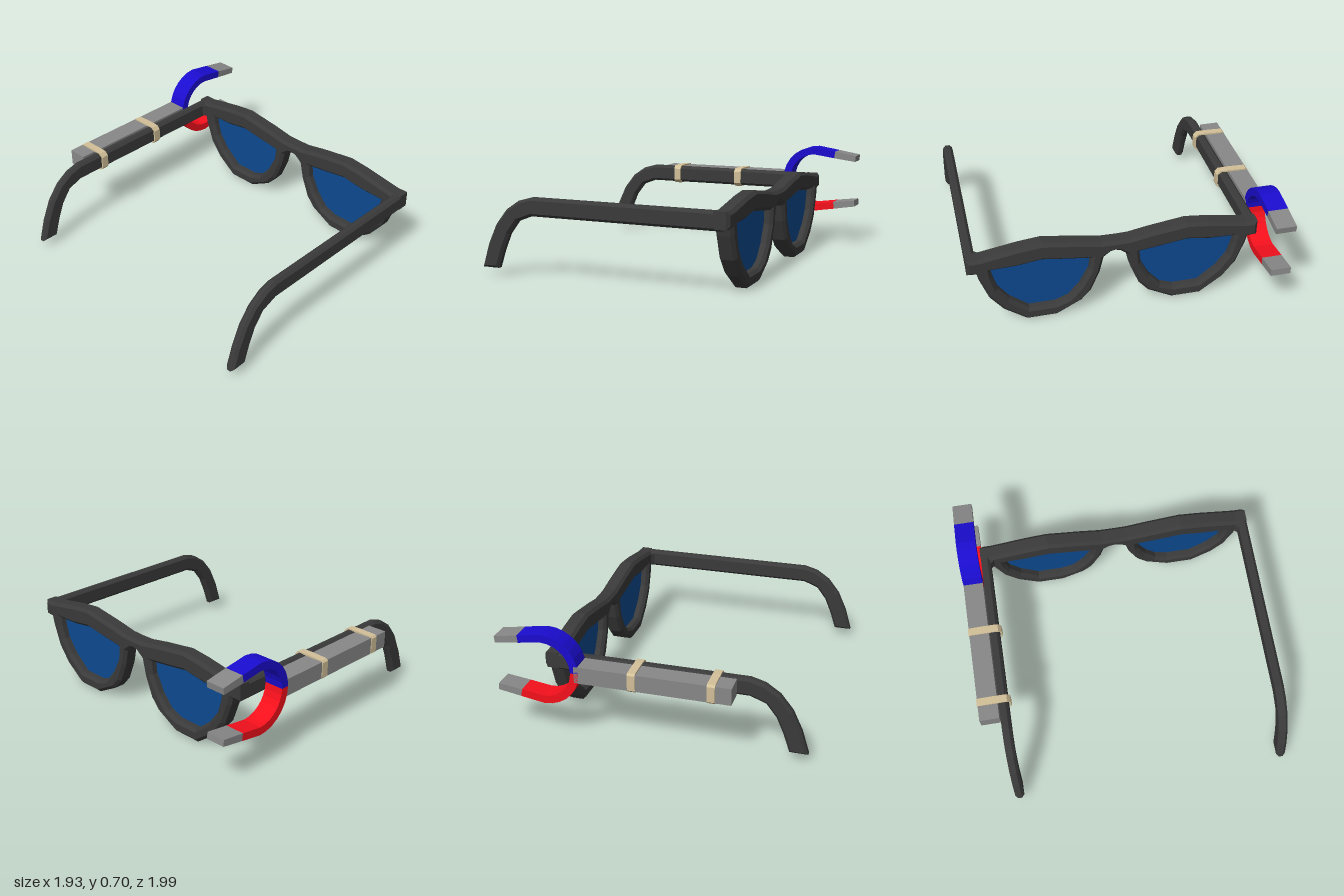
import * as THREE from 'three';

const mat = (color, extra = {}) => new THREE.MeshStandardMaterial({ color, flatShading: true, ...extra });
const vecs = (pts) => pts.map(([x, y]) => new THREE.Vector2(x, y));
const mirror = (pts) => pts.map(([x, y]) => [-x, y]).reverse();

// Extruded outline centred on its depth, with a one-step chamfer of size b
function slab(name, outline, depth, b, material, holes = []) {
  const shape = new THREE.Shape(vecs(outline));
  holes.forEach((h) => shape.holes.push(new THREE.Path(vecs(h))));
  const geo = new THREE.ExtrudeGeometry(shape, {
    depth: depth - 2 * b, bevelEnabled: b > 0, bevelSize: b, bevelThickness: b,
    bevelOffset: -b, bevelSegments: 1,
  });
  geo.translate(0, 0, -depth / 2 + b);
  const mesh = new THREE.Mesh(geo, material);
  mesh.name = name;
  return mesh;
}

export function createModel() {
  const model = new THREE.Group();
  model.name = 'glassesWithMagnet';
  const black = mat(0x3a3a3a);
  const steel = mat(0x888888);
  const blue = mat(0x1a0ccf);
  const red = mat(0xf5101c);
  const rubber = mat(0xd2c098);
  const glass = mat(0x0d4a90, { side: THREE.DoubleSide });

  // Front frame: half outline mirrored about the bridge, facing +x
  const front = new THREE.Group();
  front.name = 'front';
  front.position.set(0.649, 0, 0.064);
  front.rotation.y = Math.PI / 2;
  model.add(front);
  const half = [
    [0.075, 0.41], [0.1, 0.3], [0.155, 0.165], [0.22, 0.09], [0.38, 0.004], [0.57, 0.004],
    [0.715, 0.11], [0.8, 0.22], [0.855, 0.37], [0.865, 0.415], [0.926, 0.42], [0.926, 0.525],
    [0.85, 0.525], [0.6, 0.568], [0.46, 0.583], [0.23, 0.55], [0.09, 0.524],
  ];
  const opening = [
    [0.155, 0.417], [0.165, 0.326], [0.225, 0.21], [0.3, 0.123], [0.385, 0.09], [0.555, 0.09],
    [0.675, 0.187], [0.745, 0.283], [0.77, 0.37], [0.78, 0.433], [0.615, 0.438], [0.465, 0.46],
    [0.315, 0.438],
  ];
  const outline = [[0, 0.452], [0.03, 0.445], ...half, [0, 0.522], ...mirror(half), [-0.03, 0.445]];
  front.add(slab('frame', outline, 0.112, 0.02, black, [opening, mirror(opening)]));
  [opening, mirror(opening)].forEach((o, i) => {
    const lens = new THREE.Mesh(new THREE.ShapeGeometry(new THREE.Shape(vecs(o))), glass);
    lens.name = i ? 'rightLens' : 'leftLens';
    front.add(lens);
  });

  // Temple arms with a hooked end, plus the small fillet at the hinge
  const arm = [
    [0.66, 0.525], [-0.6, 0.525], [-0.69, 0.5], [-0.78, 0.44], [-0.86, 0.34], [-0.92, 0.21],
    [-0.966, 0.06], [-0.85, 0.06], [-0.81, 0.18], [-0.765, 0.285], [-0.7, 0.37], [-0.6, 0.408],
    [0.66, 0.408],
  ];
  for (const side of [1, -1]) {
    const z = 0.064 + side * 0.895;
    const name = side > 0 ? 'left' : 'right';
    const temple = slab(name + 'Arm', arm, 0.062, 0.017, black);
    temple.position.z = z;
    model.add(temple);
    const tri = side > 0 ? [[0, 0.03], [0.05, 0.03], [0.05, -0.025]] : [[0, -0.03], [0.05, 0.025], [0.05, -0.03]];
    const fillet = slab(name + 'Fillet', tri, 0.08, 0, black);
    fillet.rotation.x = Math.PI / 2;
    fillet.position.set(0.565, 0.467, z - side * 0.055);
    model.add(fillet);
  }

  // Bar strapped to the outside of the right arm
  const zMag = -0.933;
  const bar = new THREE.Mesh(new THREE.BoxGeometry(0.98, 0.11, 0.13), steel);
  bar.name = 'bar';
  bar.position.set(-0.034, 0.467, zMag);
  model.add(bar);

  // Horseshoe magnet: s = 1 upper arm, s = -1 lower arm
  const cx = 0.66, cy = 0.475;
  const arc = (r, s) => Array.from({ length: 8 }, (_, i) => {
    const a = Math.PI - (i / 7) * Math.PI / 2;
    return [cx + r * Math.cos(a), cy + s * r * Math.sin(a)];
  });
  for (const s of [1, -1]) {
    const name = s > 0 ? 'upper' : 'lower';
    const y = (v) => cy + s * v;
    const pole = [...arc(0.234, s), [0.813, y(0.209)], [0.806, y(0.161)], ...arc(0.182, s).reverse()];
    const tip = [[0.813, y(0.209)], [0.965, y(0.183)], [0.96, y(0.141)], [0.806, y(0.161)]];
    const parts = [slab(name + 'Pole', pole, 0.13, 0, s > 0 ? blue : red), slab(name + 'Tip', tip, 0.13, 0, steel)];
    parts.forEach((p) => { p.position.z = zMag; model.add(p); });
  }

  // Rubber bands around bar and arm: closed loops across x
  const loop = (e) => [
    [0.79 - e, 0.425], [0.79 - e, 0.508], [0.812 - e, 0.525 + e], [0.86, 0.527 + e], [0.99, 0.523 + e],
    [0.996 + e, 0.517], [0.996 + e, 0.417], [0.99, 0.411 - e], [0.86, 0.406 - e], [0.812 - e, 0.408 - e],
  ];
  [-0.4, 0.09].forEach((x, i) => {
    const band = slab('rubberBand' + (i + 1), loop(0.007), 0.05, 0, rubber, [loop(-0.004)]);
    band.rotation.y = Math.PI / 2;
    band.position.x = x;
    model.add(band);
  });

  return model;
}
